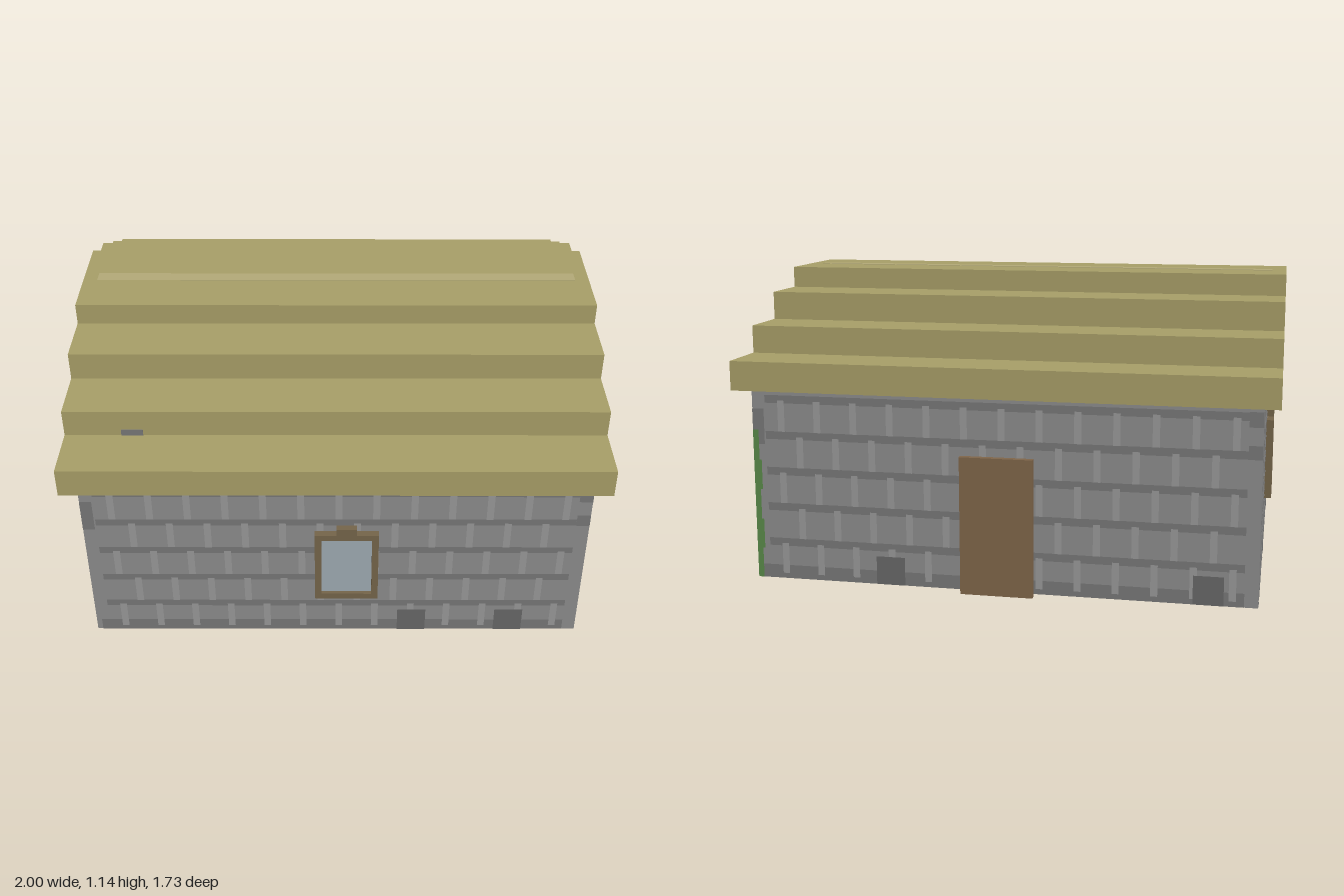
import * as THREE from 'three';
import { mergeGeometries } from 'three/addons/utils/BufferGeometryUtils.js';

const material = (color) => new THREE.MeshStandardMaterial({ color });
const mats = {
  stone: material(0x8c8c8c), band: material(0x787878), joint: material(0x999999),
  dark: material(0x686868), moss: material(0x5a8a4a), thatch: material(0xa89f68),
  ridge: material(0xb3aa78), wood: material(0x75654a), door: material(0x80664a),
  glass: material(0x9fabb3),
};
const W = 1.885, D = 1.62, H = 0.73;

function add(parent, name, geometry, mat) {
  const mesh = new THREE.Mesh(geometry, mat);
  mesh.name = name;
  parent.add(mesh);
  return mesh;
}

// Box given by its lower and upper bounds
function box(parent, name, mat, x0, x1, y0, y1, z0, z1) {
  const g = new THREE.BoxGeometry(x1 - x0, y1 - y0, z1 - z0);
  g.translate((x0 + x1) / 2, (y0 + y1) / 2, (z0 + z1) / 2);
  return add(parent, name, g, mat);
}

// Flat rectangles merged into one mesh just proud of the wall
function patches(parent, name, mat, rects, z) {
  if (!rects.length) return;
  add(parent, name, mergeGeometries(rects.map(([x0, x1, y0, y1]) =>
    new THREE.PlaneGeometry(x1 - x0, y1 - y0).translate((x0 + x1) / 2, (y0 + y1) / 2, z))), mat);
}

function rectangle(T, w, h) {
  return new T([[-w, 0], [w, 0], [w, h], [-w, h]].map(([x, y]) => new THREE.Vector2(x, y)));
}

// Framed window with a small lintel block; origin at bottom centre on the wall
function makeWindow() {
  const g = new THREE.Group();
  g.name = 'window';
  const shape = rectangle(THREE.Shape, 0.12, 0.322);
  shape.holes.push(new THREE.Path([[-0.095, 0.025], [-0.095, 0.297], [0.095, 0.297], [0.095, 0.025]]
    .map(([x, y]) => new THREE.Vector2(x, y))));
  add(g, 'windowFrame', new THREE.ExtrudeGeometry(shape, { depth: 0.028, bevelEnabled: false }), mats.wood);
  box(g, 'windowPane', mats.glass, -0.095, 0.095, 0.025, 0.297, 0, 0.014);
  box(g, 'windowTopBlock', mats.wood, -0.038, 0.038, 0.322, 0.35, 0, 0.028);
  return g;
}

// Masonry courses for one wall, facing +z, centred on x
function makeMasonry(name, width, footings, mossSide) {
  const g = new THREE.Group();
  g.name = name;
  const half = width / 2, bands = [[-half + 0.02, half - 0.05, 0, 0.052]], joints = [];
  for (let row = 0; row < 5; row++) {
    const y = 0.02 + row * 0.1375;
    bands.push([-half + 0.05, half - 0.05, y + 0.108, y + 0.138]);
    const shift = row % 2 ? 0.07 : 0;
    for (let x = -half + 0.1 + shift; x < half - 0.07; x += 0.14)
      joints.push([x, x + 0.026, y, y + 0.118]);
  }
  patches(g, 'mortarBands', mats.band, bands, 0.001);
  patches(g, 'mortarJoints', mats.joint, joints, 0.0016);
  patches(g, 'cornerStones', mats.band, [
    [-half, -half + 0.045, 0.52, 0.655],
    [half - 0.05, half, 0.54, 0.59],
    [half - 0.05, half, 0.655, 0.71],
  ], 0.0018);
  patches(g, 'footingStones', mats.dark, footings.map(([a, b]) => [a, b, 0, 0.108]), 0.0022);
  if (mossSide) {
    const strip = [];
    for (let i = 0; i < 5; i++) {
      const wide = i % 2 ? 0.03 : 0.022, y = i * 0.115;
      strip.push(mossSide > 0 ? [half - wide, half, y, y + 0.115] : [-half, -half + wide, y, y + 0.115]);
    }
    patches(g, 'moss', mats.moss, strip, 0.0026);
  }
  return g;
}

export function createModel() {
  const house = new THREE.Group();
  house.name = 'stoneHut';
  box(house, 'walls', mats.stone, -W / 2, W / 2, 0, H, -D / 2, D / 2);

  // Wall facings: turn about y, distance, width, window [x, y], footing stones, moss corner
  const sides = [
    ['frontWall', 0, D / 2, W, [0.04, 0.192], [[0.24, 0.35], [0.62, 0.73]], 0],
    ['rightSideWall', Math.PI / 2, W / 2, D, [0.04, 0.381], [[0, 0.105], [0.3, 0.405]], 1],
    ['backWall', Math.PI, D / 2, W, null, [[-0.47, -0.36], [0.71, 0.82]], -1],
    ['leftSideWall', -Math.PI / 2, W / 2, D, [0.015, 0.22], [[-0.22, -0.115], [0.46, 0.565]], 0],
  ];
  for (const [name, angle, dist, width, win, footings, moss] of sides) {
    const side = makeMasonry(name, width, footings, moss);
    side.rotation.y = angle;
    side.position.set(Math.sin(angle) * dist, 0, Math.cos(angle) * dist);
    if (win) {
      const w = makeWindow();
      w.position.set(win[0], win[1], 0);
      side.add(w);
    }
    house.add(side);
  }

  // Back door: leaf with a slightly larger outer slab
  box(house, 'doorLeaf', mats.door, -0.11, 0.11, 0, 0.49, -0.84, -D / 2);
  box(house, 'doorSlab', mats.door, -0.135, 0.135, 0, 0.515, -0.862, -0.838);

  // Stepped thatch roof, one closed profile run along x
  const steps = [[0.865, 0.73, 0.84], [0.65, 0.84, 0.945], [0.435, 0.945, 1.053], [0.216, 1.053, 1.135]];
  const right = steps.flatMap(([z, y0, y1]) => [new THREE.Vector2(z, y0), new THREE.Vector2(z, y1)]);
  const left = right.map((p) => new THREE.Vector2(-p.x, p.y)).reverse();
  const roof = new THREE.ExtrudeGeometry(new THREE.Shape([...right, ...left]), { depth: 2, bevelEnabled: false });
  roof.translate(0, 0, -1).rotateY(Math.PI / 2);
  add(house, 'steppedRoof', roof, mats.thatch);
  box(house, 'ridgeStrip', mats.ridge, -0.945, 0.945, 1.13, 1.137, -0.026, 0.026);
  box(house, 'roofStone', mats.band, -0.79, -0.71, 0.838, 0.866, 0.64, 0.654);
  return house;
}
